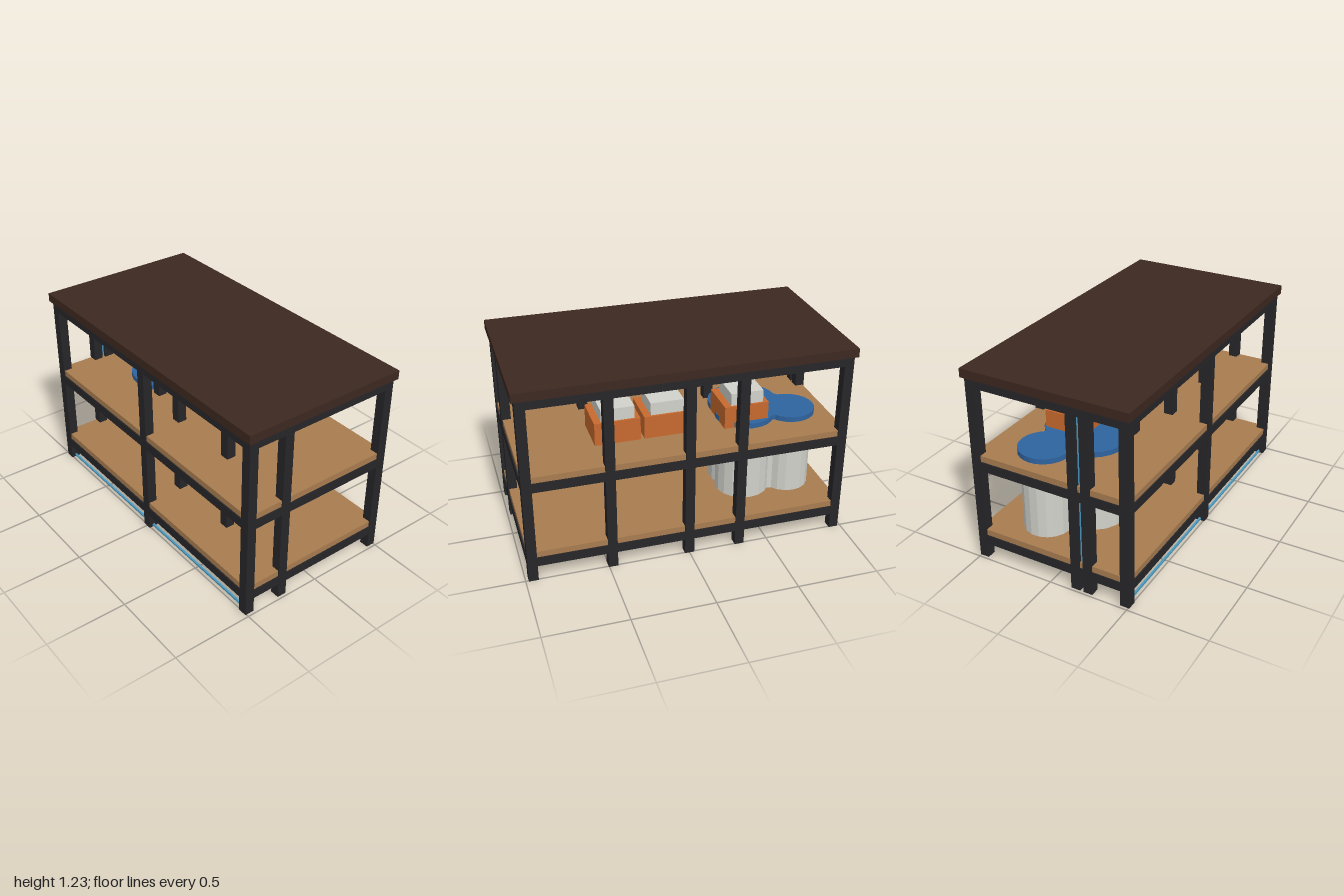
import * as THREE from 'three';

const mat = (color) => new THREE.MeshStandardMaterial({ color, flatShading: true });

export function createModel() {
  const model = new THREE.Group();
  const steel = mat(0x262629), wood = mat(0xa87c50), darkWood = mat(0x3d2820);
  const orange = mat(0xc86a2e), pale = mat(0xd2d2cc), blue = mat(0x2f64a0), cyan = mat(0x4a9ac0);

  // box given by its min and max corners
  function box(name, material, x0, x1, y0, y1, z0, z1) {
    const mesh = new THREE.Mesh(new THREE.BoxGeometry(x1 - x0, y1 - y0, z1 - z0), material);
    mesh.position.set((x0 + x1) / 2, (y0 + y1) / 2, (z0 + z1) / 2);
    mesh.name = name;
    model.add(mesh);
  }

  const W = 0.982, D = 0.507, T = 0.058, h = T / 2;
  const endX = W - h, endZ = D - h, innerZ = 0.24, sideZ = 0.16;

  // Tabletop
  box('tabletop', darkWood, -1, 1, 1.176, 1.23, -0.523, 0.523);

  // Legs: [x, z]
  const legs = [
    [-endX, endZ], [0, endZ], [endX, endZ],
    [-endX, innerZ], [0, innerZ], [0.475, innerZ], [endX, innerZ],
    [-endX, sideZ], [-0.32, sideZ],
    [-endX, -endZ], [-0.32, -endZ], [0, -endZ], [0.475, -endZ], [endX, -endZ],
  ];
  for (const [x, z] of legs) box('leg', steel, x - h, x + h, 0, 1.176, z - h, z + h);

  // Rails and cross beams at three levels
  for (const [y0, y1] of [[0.098, 0.156], [0.598, 0.656], [1.118, 1.176]]) {
    for (const z of [-endZ, endZ]) box('longRail', steel, -W, W, y0, y1, z - h, z + h);
    for (const x of [-endX, endX]) box('endRail', steel, x - h, x + h, y0, y1, -D, D);
    for (const [x, z] of [[-0.32, sideZ], [0, innerZ], [0.475, innerZ]])
      box('crossBeam', steel, x - h, x + h, y0, y1, -D, z + h);
    box('innerRail', steel, 0, W, y0, y1, innerZ - h, innerZ + h);
    box('innerRail', steel, -W, -0.32, y0, y1, sideZ - h, sideZ + h);
  }

  // Shelf boards
  for (const y of [0.156, 0.656]) box('shelf', wood, -0.975, 0.975, y, y + 0.038, -0.5, 0.5);

  // Thin strips on the floor and beside the end posts
  for (const z of [endZ, innerZ]) box('floorStrip', cyan, -endX, endX, 0.008, 0.02, z - 0.006, z + 0.006);
  box('wallStrip', cyan, -endX - 0.01, -endX + 0.01, 0.1, 1.118, 0.189, 0.197);

  // Lobed tank with a blue rim: [x, z, radius]
  const lobes = [[-0.5, -0.005, 0.205], [-0.745, -0.17, 0.145], [-0.46, -0.145, 0.17], [-0.62, -0.11, 0.14]];
  for (const [x, z, r] of lobes) {
    const tank = new THREE.Mesh(new THREE.CylinderGeometry(r, r, 0.49, 18), pale);
    tank.position.set(x, 0.44, z);
    tank.name = 'tankBody';
    const rim = new THREE.Mesh(new THREE.CylinderGeometry(r + 0.012, r + 0.012, 0.036, 24), blue);
    rim.position.set(x, 0.709, z);
    rim.name = 'tankRim';
    model.add(tank, rim);
  }

  // Storage bins with pale blocks on top: [left x, front z]
  for (const [x, z] of [[-0.56, -0.025], [-0.07, 0], [0.23, 0]]) {
    box('bin', orange, x, x + 0.277, 0.69, 0.836, z - 0.26, z);
    box('binBlock', pale, x + 0.032, x + 0.235, 0.836, 0.914, z - 0.247, z - 0.03);
  }
  return model;
}
